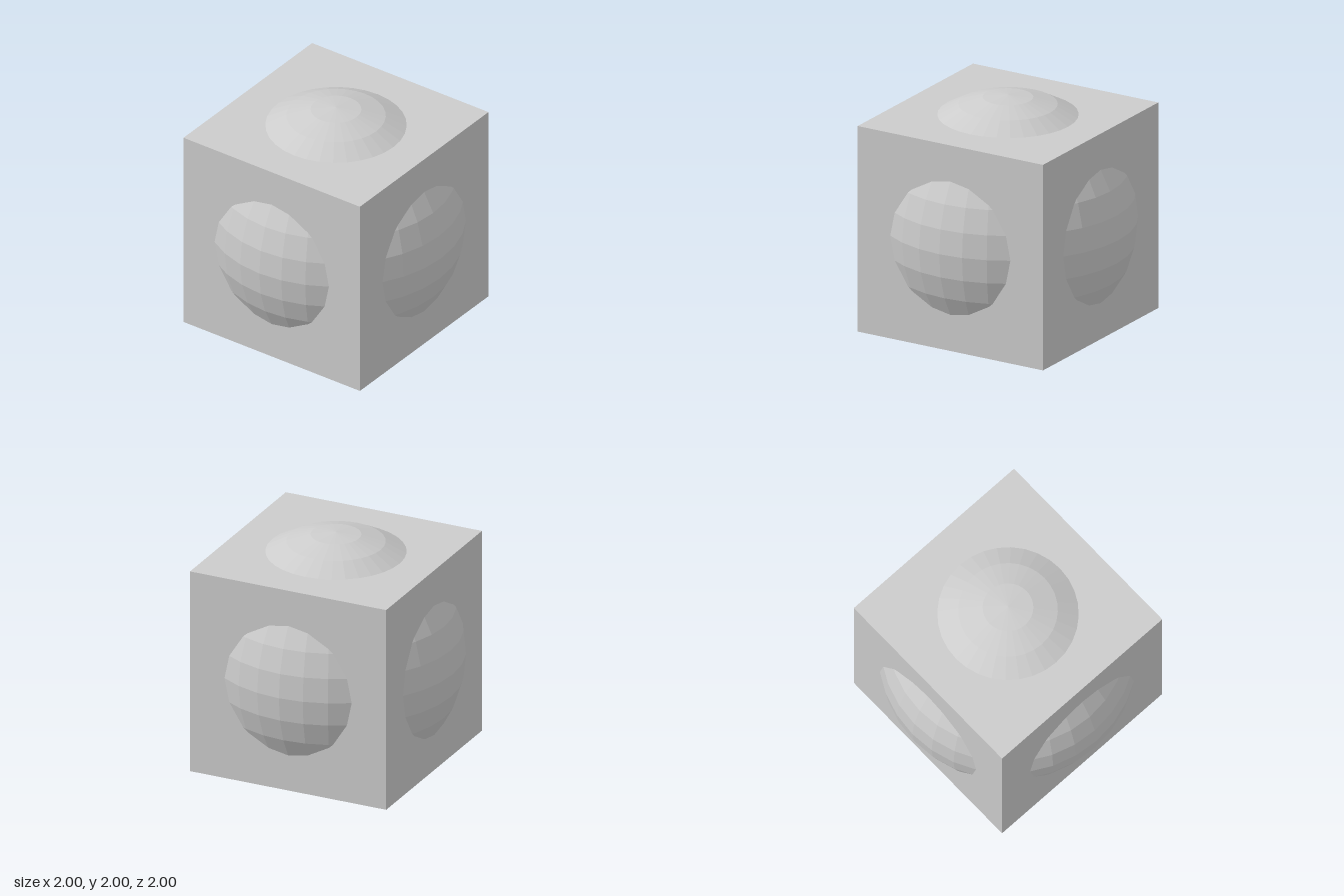
import * as THREE from 'three';

export function createModel() {
  const group = new THREE.Group();
  const material = new THREE.MeshStandardMaterial({ color: 0xcccccc, flatShading: true });

  const addPart = (name, geometry) => {
    const mesh = new THREE.Mesh(geometry, material);
    mesh.name = name;
    mesh.position.y = 1;
    group.add(mesh);
  };

  // Cube whose faces cut across the ball
  const side = 1.676;
  addPart('cube', new THREE.BoxGeometry(side, side, side));

  // Faceted ball bulging out as a cap on all six faces
  addPart('ball', new THREE.SphereGeometry(1, 32, 16));

  return group;
}
